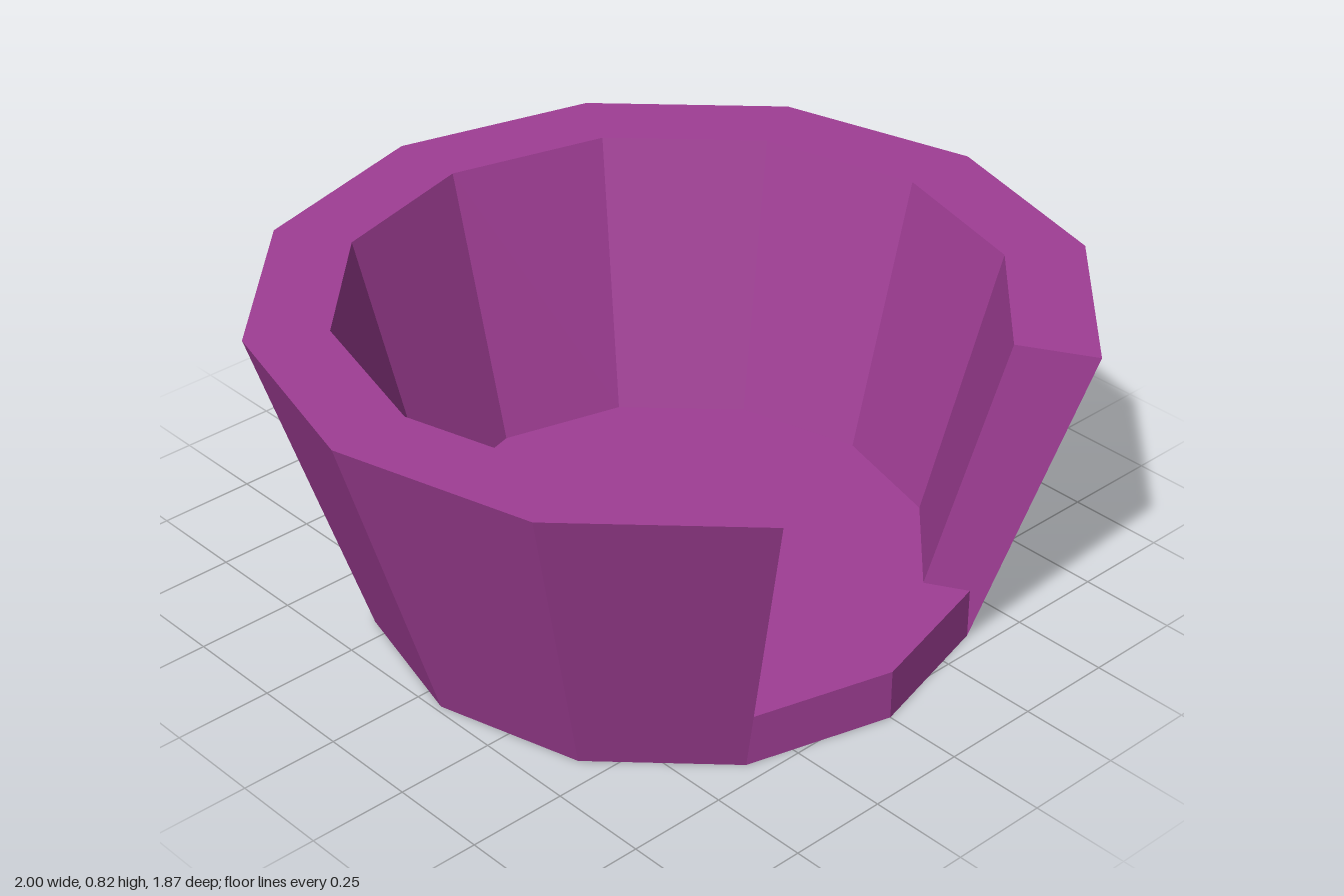
import * as THREE from 'three';

const SIDES = 12;
const HEIGHT = 0.82;
const FLOOR = 0.13;
const BASE_RADIUS = 0.735;
const CENTRE_Z = 0.065;
const STEP = (Math.PI * 2) / SIDES;

// Sloping wall section as (radius, height): outer foot, outer rim, inner rim, inner foot
const PROFILE = [[BASE_RADIUS, 0], [1, HEIGHT], [0.8, HEIGHT], [0.622, FLOOR]];

function faceted(geometry) {
  const flat = geometry.toNonIndexed();
  flat.computeVertexNormals();
  return flat;
}

export function createModel() {
  const purple = new THREE.MeshStandardMaterial({ color: 0xa03e95 });
  purple.name = 'purple';

  const model = new THREE.Group();
  model.name = 'openTub';
  const add = (name, geometry) => {
    const mesh = new THREE.Mesh(geometry, purple);
    mesh.name = name;
    mesh.position.z = CENTRE_Z;
    model.add(mesh);
    return mesh;
  };

  // Floor slab, which shows as a low sill in the front opening
  const floor = new THREE.CylinderGeometry(BASE_RADIUS, BASE_RADIUS, FLOOR, SIDES);
  floor.translate(0, FLOOR / 2, 0);
  add('floor', faceted(floor));

  // Flared wall, leaving two of the twelve sides open at the front
  const points = PROFILE.map(([r, y]) => new THREE.Vector2(r, y));
  add('wall', faceted(new THREE.LatheGeometry(points, SIDES - 2, STEP, STEP * (SIDES - 2))));

  // Flat ends of the wall on both sides of the opening
  for (const side of [1, -1]) {
    const section = new THREE.Shape(PROFILE.map(([r, y]) => new THREE.Vector2(side * r, y)));
    const end = add(side > 0 ? 'leftWallEnd' : 'rightWallEnd', new THREE.ShapeGeometry(section));
    end.rotation.y = -side * (Math.PI / 2 - STEP);
  }

  return model;
}
